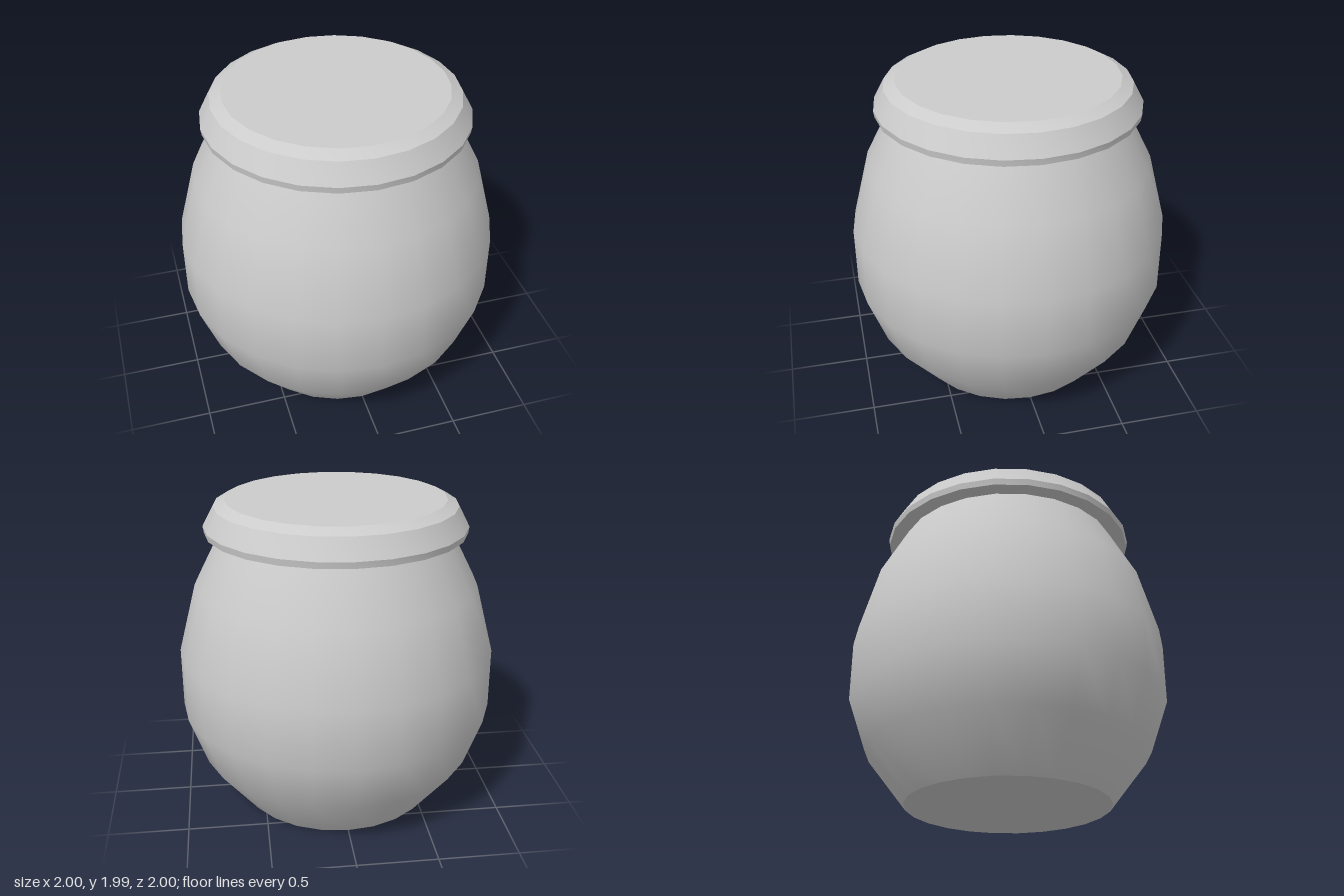
import * as THREE from 'three';
import { toCreasedNormals } from 'three/addons/utils/BufferGeometryUtils.js';

const SIDES = 24;
const CREASE = 0.44; // smooth around the jar, sharp at the rims

function turned(name, profile, material) {
  const points = profile.map(([r, y]) => new THREE.Vector2(r, y));
  const geometry = toCreasedNormals(new THREE.LatheGeometry(points, SIDES), CREASE);
  const mesh = new THREE.Mesh(geometry, material);
  mesh.name = name;
  return mesh;
}

export function createModel() {
  const group = new THREE.Group();
  group.name = 'jar';
  const material = new THREE.MeshStandardMaterial({ color: 0xcccccc });

  // Round-bellied body with a flat base, its neck reaching the lid
  const body = turned('body', [
    [0, 0], [0.635, 0], [0.885, 0.32], [1, 0.645],
    [1, 1.025], [0.885, 1.46], [0.715, 1.79],
  ], material);

  // Overhanging lid with a short rim and bevelled flat top
  const lid = turned('lid', [
    [0, 1.79], [0.81, 1.79], [0.816, 1.83],
    [0.75, 1.953], [0.68, 1.99], [0, 1.99],
  ], material);

  group.add(body, lid);
  return group;
}
